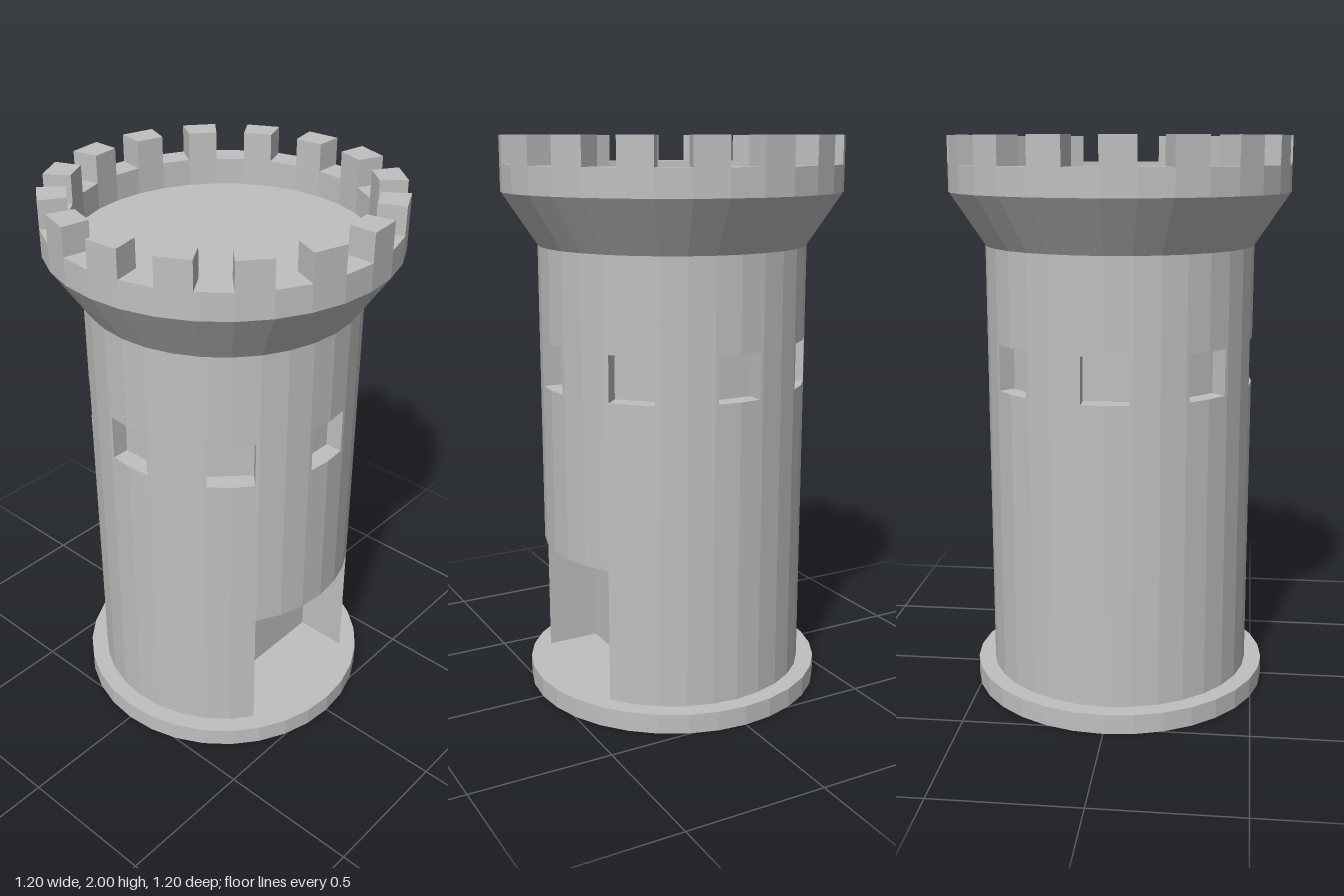
import * as THREE from 'three';

const SIDES = 32;
const STEP = (Math.PI * 2) / SIDES;
const BODY_R = 0.476;

// Plan point [x, z]; the angle runs from the front (+z) towards +x.
const polar = (r, a) => [r * Math.sin(a), r * Math.cos(a)];
const ringPoints = (r) => Array.from({ length: SIDES }, (_, k) => polar(r, k * STEP));
const toVectors = (points) => points.map(([x, z]) => new THREE.Vector2(x, -z));

// Raise a plan outline from y0 to y1, with an optional hole.
function prism(points, y0, y1, hole) {
  const shape = new THREE.Shape(toVectors(points));
  if (hole) shape.holes.push(new THREE.Path(toVectors(hole)));
  const geometry = new THREE.ExtrudeGeometry(shape, { depth: y1 - y0, bevelEnabled: false });
  return geometry.rotateX(-Math.PI / 2).translate(0, y0, 0);
}

// Body outline with a deep doorway cut into the front.
function doorOutline() {
  const half = 0.267, jambZ = 0.393, backZ = 0.2;
  const points = [[half, backZ], [half, jambZ]];
  for (let k = 4; k <= SIDES - 4; k++) points.push(polar(BODY_R, k * STEP));
  points.push([-half, jambZ], [-half, backZ]);
  return points;
}

// Body outline with eight shallow window recesses.
function windowOutline() {
  const half = 0.08, faceZ = 0.468, backZ = 0.407;
  const recess = [[-half, faceZ], [-half, backZ], [half, backZ], [half, faceZ]];
  const points = [];
  for (let k = 0; k < SIDES; k++) {
    const a = k * STEP;
    if (k % 4) {
      points.push(polar(BODY_R, a));
    } else {
      const c = Math.cos(a), s = Math.sin(a);
      for (const [x, z] of recess) points.push([x * c + z * s, z * c - x * s]);
    }
  }
  return points;
}

export function createModel() {
  const tower = new THREE.Group();
  tower.name = 'tower';
  const stone = new THREE.MeshStandardMaterial({ color: 0xc0c0c0 });
  stone.name = 'grey stone';

  const add = (name, geometry, parent = tower) => {
    const mesh = new THREE.Mesh(geometry, stone);
    mesh.name = name;
    parent.add(mesh);
  };

  // Foot and the stacked bands of the shaft
  add('base', prism(ringPoints(0.538), 0, 0.07));
  add('doorwayBand', prism(doorOutline(), 0.07, 0.548));
  add('lowerShaft', prism(ringPoints(BODY_R), 0.548, 1.138));
  add('windowBand', prism(windowOutline(), 1.138, 1.299));
  add('upperShaft', prism(ringPoints(BODY_R), 1.299, 1.625));

  // Flared top, whose upper face is the roof floor
  const flare = new THREE.CylinderGeometry(0.6, BODY_R, 0.185, SIDES).toNonIndexed();
  flare.translate(0, 1.7175, 0).computeVertexNormals();
  add('flare', flare);

  // Parapet wall
  const outer = 0.6, inner = 0.505;
  add('parapet', prism(ringPoints(outer), 1.81, 1.903, ringPoints(inner)));

  // Battlements on every second facet
  const battlements = new THREE.Group();
  battlements.name = 'battlements';
  tower.add(battlements);
  for (let k = 0; k < SIDES; k += 2) {
    const a = k * STEP, b = a + STEP;
    const plan = [polar(inner, a), polar(outer, a), polar(outer, b), polar(inner, b)];
    add('merlon', prism(plan, 1.903, 2), battlements);
  }
  return tower;
}
